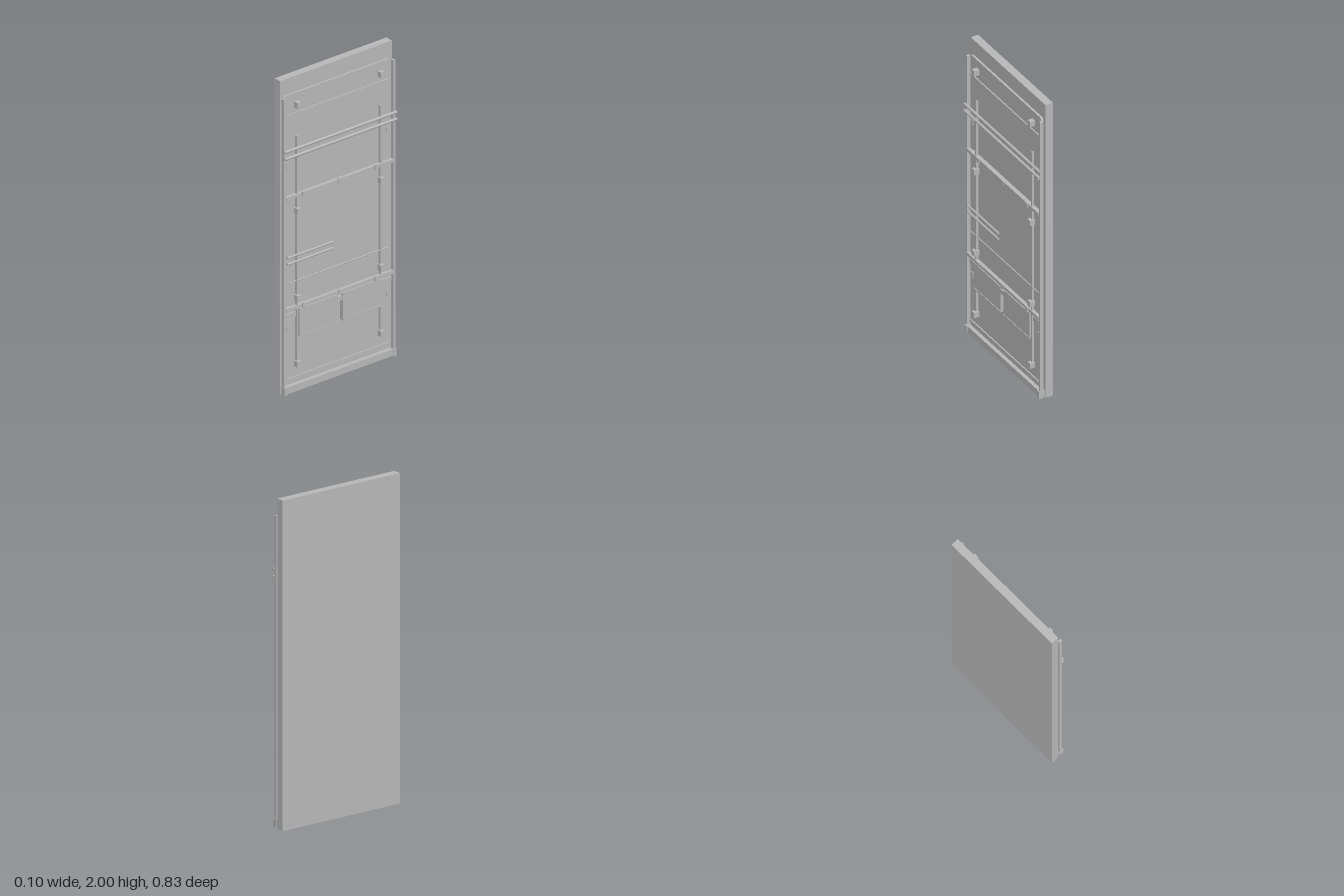
import * as THREE from 'three';

export function createModel() {
  const model = new THREE.Group();
  const grey = new THREE.MeshStandardMaterial({ color: 0xb8b8b8 });
  grey.name = 'grey';

  const add = (name, geometry) => {
    const mesh = new THREE.Mesh(geometry, grey);
    mesh.name = name;
    model.add(mesh);
    return mesh;
  };
  // Box given by its limits on each axis
  const box = (name, x0, x1, y0, y1, z0, z1) =>
    add(name, new THREE.BoxGeometry(x1 - x0, y1 - y0, z1 - z0))
      .position.set((x0 + x1) / 2, (y0 + y1) / 2, (z0 + z1) / 2);
  // Round bar running along z
  const rod = (name, x, y, r, z0, z1) => {
    const mesh = add(name, new THREE.CylinderGeometry(r, r, z1 - z0, 12));
    mesh.rotation.x = Math.PI / 2;
    mesh.position.set(x, y, (z0 + z1) / 2);
  };
  // Thin panel with rounded corners on the slab's +x face
  const panel = (name, y0, y1, depth) => {
    const w = 0.395, r = 0.02, s = new THREE.Shape();
    s.moveTo(-w + r, y0);
    s.lineTo(w - r, y0);
    s.quadraticCurveTo(w, y0, w, y0 + r);
    s.lineTo(w, y1 - r);
    s.quadraticCurveTo(w, y1, w - r, y1);
    s.lineTo(-w + r, y1);
    s.quadraticCurveTo(-w, y1, -w, y1 - r);
    s.lineTo(-w, y0 + r);
    s.quadraticCurveTo(-w, y0, -w + r, y0);
    const g = new THREE.ExtrudeGeometry(s, { depth, bevelEnabled: false, curveSegments: 5 });
    add(name, g.rotateY(Math.PI / 2));
  };

  // Backing slab and the three panels mounted on it
  box('backingSlab', -0.05, 0, 0, 2, -0.416, 0.416);
  panel('upperPanel', 1.38, 1.9, 0.014);
  panel('middlePanel', 0.55, 1.25, 0.014);
  panel('lowerPanel', 0.055, 0.48, 0.014);

  // Ledges across the panels
  box('upperLedge', 0.012, 0.022, 1.765, 1.778, -0.39, 0.39);
  box('lowerLedge', 0.012, 0.022, 0.085, 0.097, -0.39, 0.39);

  // Crossbars with three small studs each
  for (const y of [1.252, 0.542]) {
    box('crossbar', 0.014, 0.036, y - 0.01, y + 0.01, -0.4, 0.4);
    for (const z of [-0.27, 0, 0.27]) {
      box('crossbarStud', 0.03, 0.042, y - 0.015, y + 0.015, z - 0.012, z + 0.012);
    }
  }

  // Parts mirrored on both sides
  for (const s of [-1, 1]) {
    const side = (name, x0, x1, y0, y1, za, zb) =>
      box(name, x0, x1, y0, y1, Math.min(s * za, s * zb), Math.max(s * za, s * zb));
    side('sideRail', 0.012, 0.033, 0.01, 1.89, 0.4, 0.414);
    side('railFoot', 0.01, 0.042, 0.005, 0.055, 0.395, 0.416);
    side('verticalStrap', 0.014, 0.03, 0.17, 1.63, 0.306, 0.316);
    for (const y of [0.18, 0.6, 1.155, 1.83]) {
      side('strapClip', 0.012, 0.048, y - 0.018, y + 0.018, 0.297, 0.325);
    }
    side('pocket', 0.012, 0.04, 0.355, 0.53, 0.018, 0.306);
    side('pocketLip', 0.036, 0.044, 0.355, 0.365, 0.018, 0.306);
    side('sidePocketTop', 0.012, 0.022, 0.48, 0.51, 0.316, 0.395);
    for (const y of [0.41, 1.45]) {
      side('smallPlate', 0.014, 0.02, y - 0.018, y + 0.018, 0.36, 0.382);
    }
  }
  box('pocketDividerTab', 0.012, 0.038, 0.485, 0.51, -0.018, 0.018);

  // Horizontal rods
  rod('upperRod', 0.041, 1.56, 0.009, -0.416, 0.416);
  rod('upperRod', 0.041, 1.515, 0.009, -0.416, 0.416);
  rod('shortRod', 0.033, 0.875, 0.007, 0.05, 0.39);
  rod('shortRod', 0.033, 0.835, 0.007, 0.05, 0.39);
  rod('thinRod', 0.022, 0.705, 0.004, -0.375, 0.375);

  // Bottom rail
  box('bottomRail', 0, 0.034, 0.008, 0.05, -0.41, 0.41);

  return model;
}
